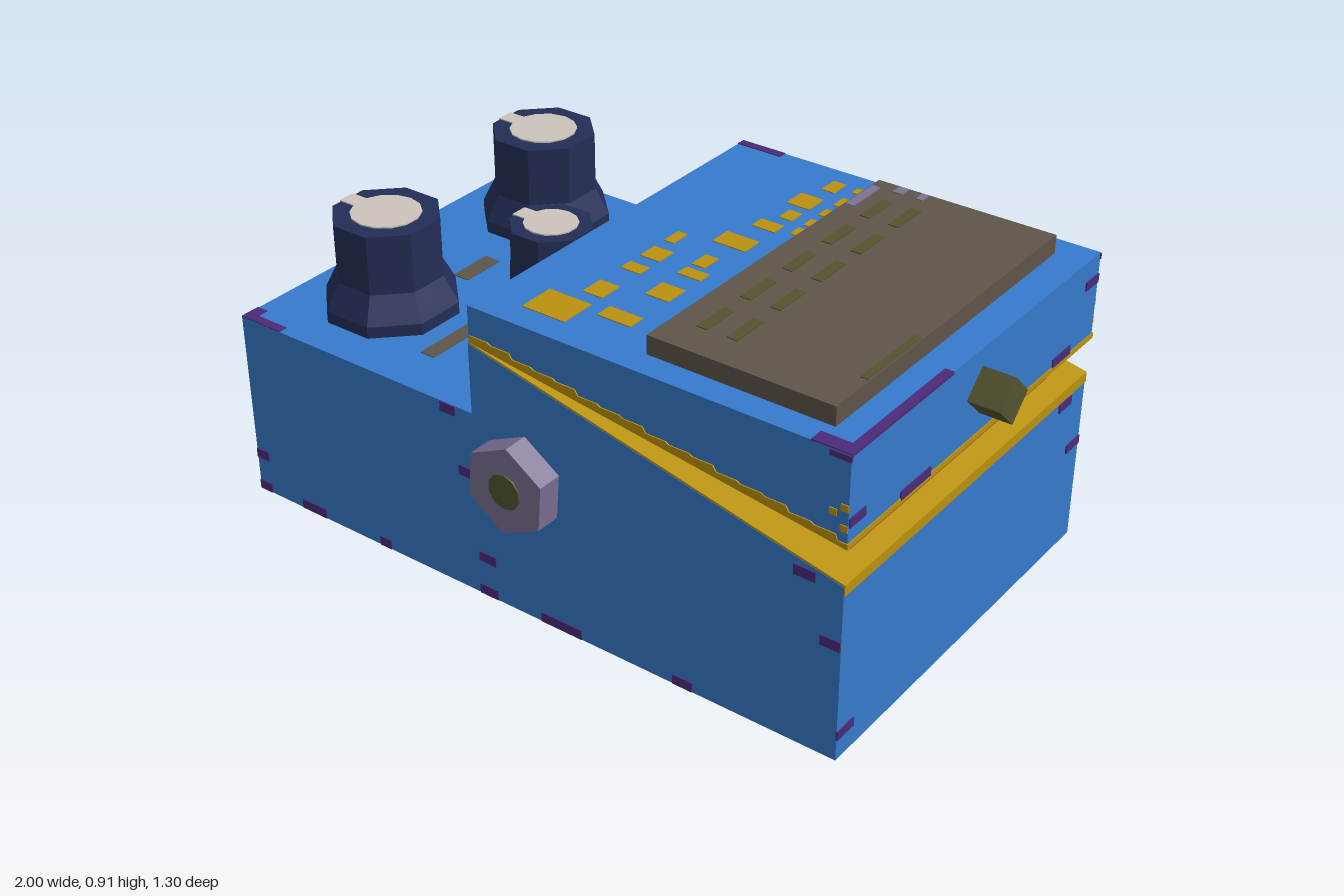
import * as THREE from 'three';
import { mergeGeometries } from 'three/addons/utils/BufferGeometryUtils.js';

const mat = (name, color) => Object.assign(new THREE.MeshStandardMaterial({ color }), { name });
const M = {
  blue: mat('blue', 0x367acb), navy: mat('navy', 0x232d56), cream: mat('cream', 0xcbc3bb),
  taupe: mat('taupe', 0x5e544a), olive: mat('olive', 0x54532f), yellow: mat('yellow', 0xba920f),
  rust: mat('rust', 0xa0513a), lilac: mat('lilac', 0x7d7194), purple: mat('purple', 0x4b2a78),
  black: mat('black', 0x0b0b0b),
};
const T = 0.005; // thickness of painted plates

const unindexed = g => (g.index ? g.toNonIndexed() : g);

// Faceted normals for low-poly parts
function flat(geometry) {
  const g = unindexed(geometry);
  g.computeVertexNormals();
  return g;
}

// Side profile (x, y) extruded from z0 to z1
function prism(pts, z0, z1) {
  const shape = new THREE.Shape(pts.map(([x, y]) => new THREE.Vector2(x, y)));
  return new THREE.ExtrudeGeometry(shape, { depth: z1 - z0, bevelEnabled: false }).translate(0, 0, z0);
}

function box(x0, x1, y0, y1, z0, z1) {
  return new THREE.BoxGeometry(x1 - x0, y1 - y0, z1 - z0)
    .translate((x0 + x1) / 2, (y0 + y1) / 2, (z0 + z1) / 2);
}

export function createModel() {
  const model = new THREE.Group();
  model.name = 'effectPedal';
  const add = (name, material, geometry, parent = model) => {
    const merged = Array.isArray(geometry) ? mergeGeometries(geometry.map(unindexed)) : geometry;
    const mesh = new THREE.Mesh(merged, material);
    mesh.name = name;
    parent.add(mesh);
  };
  // Flat patches [x0, x1, z0, z1] lying on height y
  const patches = (name, material, y, list) =>
    add(name, material, list.map(([a, b, c, d]) => box(a, b, y - T, y + T / 2, c, d)));

  // Housing with sloped rear half
  add('housing', M.blue, prism([[-1, 0.006], [0.905, 0.006], [0.905, 0.51], [-0.19, 0.755],
    [-0.19, 0.555], [-1, 0.555]], -0.577, 0.574));
  add('housingRim', M.yellow, [
    prism([[-0.19, 0.752], [0.905, 0.507], [0.908, 0.515], [-0.19, 0.76]], -0.576, 0.573),
    box(0.9, 0.908, 0.485, 0.512, -0.577, 0.574),
  ]);
  add('hingeBlock', M.rust, prism([[-0.18, 0.757], [0.85, 0.525], [0.85, 0.622]], -0.465, 0.465));

  // Treadle lid with a worn, stepped rim
  const lidY = x => 0.76 - (x + 0.19) * 0.135;
  add('lid', M.blue, prism([[-0.19, 0.764], [0.905, 0.616], [0.905, 0.86], [-0.19, 0.86]], -0.585, 0.57));
  const rim = [[-0.19, lidY(-0.19)], [0.908, lidY(0.908)], [0.908, 0.627], [0.88, 0.627]];
  const steps = 16;
  for (let i = steps; i > 0; i--) {
    const a = -0.19 + (i / steps) * 1.07, b = a - 1.07 / steps;
    const y = lidY((a + b) / 2) + 0.02 + (i % 3) * 0.003;
    rim.push([a - 0.005, y], [b + 0.005, y]);
  }
  add('lidRim', M.yellow, prism(rim, -0.588, 0.573));
  add('lidUnderside', M.black, prism([[-0.15, lidY(-0.15) - 0.003], [0.87, lidY(0.87) - 0.003],
    [0.87, lidY(0.87) + 0.003], [-0.15, lidY(-0.15) + 0.003]], -0.53, 0.52));
  add('lidSideFlecks', M.yellow, [0.57, -0.585].flatMap(z => [[0.855, 0.69], [0.885, 0.71], [0.885, 0.655]]
    .map(([x, y]) => box(x, x + 0.02, y, y + 0.018, z - 0.003, z + 0.003))));

  // Foot pad with abstract dark marks
  add('footPad', M.taupe, box(0.295, 0.815, 0.85, 0.912, -0.51, 0.495));
  const bars = [];
  for (let i = 0; i < 5; i++) {
    const z = -0.36 + i * 0.175;
    bars.push([0.365, 0.395, z - 0.055, z + 0.055], [0.45, 0.48, z - 0.055, z + 0.055]);
  }
  bars.push([0.79, 0.81, 0.13, 0.36]);
  patches('padMarks', M.olive, 0.912, bars);
  patches('padScuffs', M.lilac, 0.912, [[0.3, 0.325, -0.47, -0.34], [0.36, 0.39, -0.505, -0.47], [0.43, 0.45, -0.505, -0.47]]);

  // Painted blocks on the lid
  patches('lidBlocks', M.yellow, 0.86, [
    [-0.01, 0.02, -0.04, 0.02], [-0.01, 0.05, 0.06, 0.12], [-0.01, 0.05, 0.16, 0.2], [-0.01, 0.05, 0.28, 0.35],
    [-0.08, 0.05, 0.39, 0.495],
    [0.15, 0.19, -0.52, -0.46], [0.12, 0.19, -0.41, -0.34], [0.15, 0.19, -0.31, -0.26], [0.12, 0.19, -0.225, -0.18],
    [0.09, 0.19, -0.115, -0.05], [0.12, 0.16, 0.02, 0.08], [0.12, 0.19, 0.1, 0.14], [0.12, 0.19, 0.2, 0.27],
    [0.09, 0.19, 0.37, 0.42],
    [0.225, 0.25, -0.52, -0.49], [0.225, 0.25, -0.45, -0.4], [0.225, 0.25, -0.37, -0.33],
    [0.225, 0.25, -0.3, -0.26], [0.225, 0.25, -0.24, -0.2],
  ]);

  // Control deck markings
  patches('deckDashes', M.taupe, 0.555, [[-0.49, -0.445, -0.47, -0.225], [-0.49, -0.445, 0.18, 0.43], [-0.7, -0.65, -0.07, 0.065]]);
  patches('deckLight', M.rust, 0.555, [[-0.945, -0.85, -0.06, 0.035]]);

  // Octagonal knobs with a cream cap and pointer
  const oct = (top, bottom, y0, y1) => {
    const k = 1 / Math.cos(Math.PI / 8);
    return flat(new THREE.CylinderGeometry(top * k, bottom * k, y1 - y0, 8, 1, false, Math.PI / 8)
      .translate(0, (y0 + y1) / 2, 0));
  };
  function knob(name, x, z, r, skirt, top, cap) {
    const g = new THREE.Group();
    g.name = name;
    g.position.set(x, 0, z);
    add('knobBody', M.navy, [oct(skirt, skirt, 0.572, 0.605), oct(r, skirt, 0.605, 0.68), oct(r, r, 0.68, top)], g);
    add('knobCap', M.cream, new THREE.CylinderGeometry(cap, cap, 0.008, 14).translate(0, top, 0), g);
    add('knobPointer', M.cream, prism([[0, 0.575], [-skirt - 0.004, 0.575], [-skirt - 0.004, 0.606],
      [-r - 0.004, 0.682], [-r - 0.004, top + 0.003], [0, top + 0.003]], -0.025, 0.025), g);
    model.add(g);
  }
  knob('rearKnob', -0.7, -0.335, 0.138, 0.173, 0.848, 0.095);
  knob('frontKnob', -0.7, 0.308, 0.138, 0.173, 0.848, 0.095);
  knob('middleKnob', -0.402, -0.003, 0.108, 0.112, 0.78, 0.075);

  // Hex socket nuts on both long sides
  for (const s of [1, -1]) {
    const g = new THREE.Group();
    g.name = s > 0 ? 'frontSocket' : 'backSocket';
    g.position.set(-0.03, 0.425, s * 0.605);
    add('nut', M.lilac, flat(new THREE.CylinderGeometry(0.128, 0.128, 0.08, 6).rotateX(Math.PI / 2).rotateZ(-0.08)), g);
    add('socketHole', M.olive, new THREE.CylinderGeometry(0.05, 0.05, 0.008, 10)
      .rotateX(Math.PI / 2).translate(0, 0, s * 0.04), g);
    model.add(g);
  }

  // Diamond stud on the lid end
  add('endStud', M.olive, flat(new THREE.CylinderGeometry(0.065, 0.065, 0.095, 4)
    .rotateZ(Math.PI / 2).translate(0.947, 0.745, 0)));

  // End plates on the left face
  const endPlate = (y0, y1, z0, z1, d) => box(-1 - d, -0.998, y0, y1, z0, z1);
  add('powerSocket', M.taupe, endPlate(0.1, 0.26, -0.07, 0.07, 0.003));
  add('powerSocketHole', M.olive, endPlate(0.13, 0.22, -0.03, 0.04, 0.005));
  add('infoPlate', M.cream, endPlate(0.08, 0.28, 0.15, 0.39, 0.003));
  const dots = [];
  for (const y of [0.11, 0.165, 0.22]) for (const z of [0.19, 0.29]) dots.push(endPlate(y, y + 0.03, z, z + 0.06, 0.005));
  add('infoPlateMarks', M.rust, dots);

  // Underside panels, placed by fractions (u along x, v along z)
  const under = (name, material, y, list) => add(name, material, list.map(([u0, u1, v0, v1]) =>
    box(0.905 - u1 * 1.905, 0.905 - u0 * 1.905, y, 0.01, -0.575 + v0 * 1.15, -0.575 + v1 * 1.15)));
  under('baseBorder', M.yellow, 0.0045, [[0.002, 0.998, 0.002, 0.998]]);
  under('basePanel', M.olive, 0.003, [[0.03, 0.97, 0.12, 0.88], [0.1, 0.9, 0.05, 0.95]]);
  under('baseDarkPanels', M.black, 0.0015, [[0.13, 0.74, 0.13, 0.85], [0.78, 0.88, 0.15, 0.85]]);
  under('baseSlots', M.olive, 0, [0.2, 0.36, 0.52, 0.68].map(v => [0.805, 0.855, v, v + 0.11]));
  under('baseLabels', M.cream, 0, [
    [0.15, 0.25, 0.29, 0.48],
    ...[0.3, 0.42, 0.54].flatMap(v => [[0.285, 0.315, v, v + 0.08], [0.345, 0.37, v, v + 0.08]]),
    ...[0.33, 0.45, 0.57, 0.67].flatMap(v => [[0.47, 0.51, v, v + 0.06], [0.55, 0.575, v, v + 0.06]]),
    ...[0.27, 0.4, 0.53, 0.66].map(v => [0.65, 0.72, v, v + 0.09]),
    ...[0.04, 0.93].flatMap(u => [0.04, 0.9].map(v => [u, u + 0.035, v, v + 0.06])),
  ]);

  // Purple wear chips: long sides [x, y, width], end faces [z, y, width], tops
  const chips = [];
  for (const [x, y, w] of [[-0.977, 0.021, 0.045], [-0.79, 0.021, 0.09], [-0.525, 0.021, 0.04], [-0.16, 0.021, 0.06],
    [0.08, 0.021, 0.13], [0.46, 0.021, 0.06], [-0.977, 0.125, 0.045], [-0.16, 0.125, 0.055], [-0.22, 0.37, 0.045],
    [-0.27, 0.54, 0.05], [0.8, 0.505, 0.06], [0.876, 0.34, 0.055]])
    for (const z of [0.574, -0.577]) chips.push(box(x - w / 2, x + w / 2, y - 0.014, y + 0.014, z - 0.003, z + 0.003));
  for (const [z, y, w] of [[0.54, 0.08, 0.07], [-0.54, 0.31, 0.07], [-0.47, 0.468, 0.065], [0.285, 0.634, 0.13],
    [-0.415, 0.637, 0.09], [0.535, 0.68, 0.065], [-0.55, 0.79, 0.065]])
    chips.push(box(0.903, 0.909, y - 0.012, y + 0.012, z - w / 2, z + w / 2));
  for (const [z, y] of [[-0.53, 0.02], [-0.2, 0.02], [0.5, 0.02], [0.53, 0.44], [-0.53, 0.45]])
    chips.push(endPlate(y - 0.012, y + 0.012, z - 0.035, z + 0.035, 0.002));
  for (const [x0, x1, y, z0, z1] of [[0.882, 0.907, 0.86, 0.14, 0.57], [0.8, 0.882, 0.86, 0.53, 0.57],
    [-0.19, -0.05, 0.86, -0.585, -0.56], [-1, -0.955, 0.555, -0.577, -0.55], [-1, -0.86, 0.555, 0.548, 0.574],
    [-1, -0.965, 0.555, 0.515, 0.548]]) chips.push(box(x0, x1, y - T, y + T / 2, z0, z1));
  for (const z of [0.57, -0.585]) chips.push(box(0.85, 0.907, 0.842, 0.857, z - 0.003, z + 0.003));
  add('wearChips', M.purple, chips);

  return model;
}
